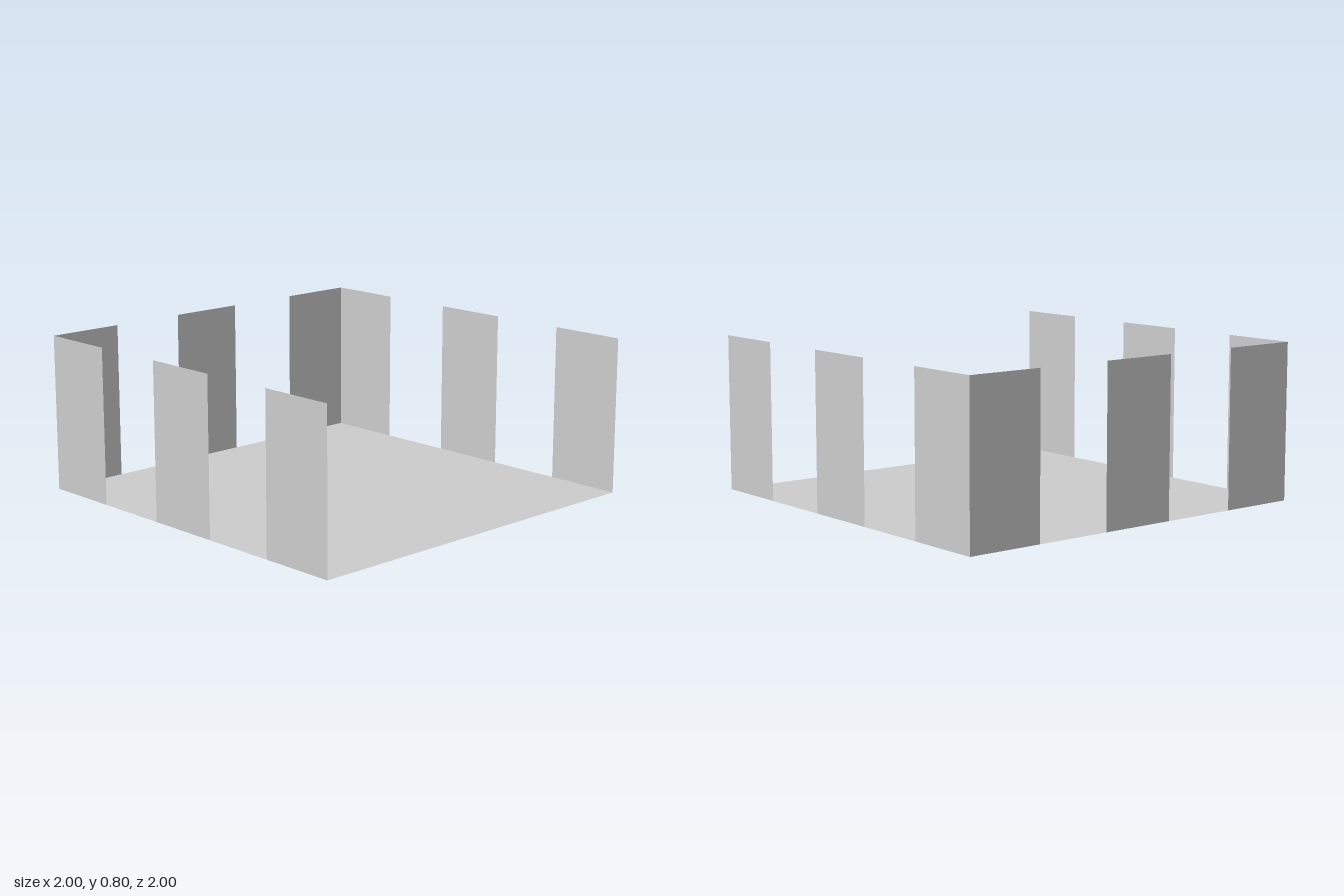
import * as THREE from 'three';

export function createModel() {
  const model = new THREE.Group();
  const grey = new THREE.MeshStandardMaterial({ color: 0xcccccc, side: THREE.DoubleSide });
  grey.name = 'light grey';

  // Square floor
  const floor = new THREE.Mesh(new THREE.PlaneGeometry(2, 2).rotateX(-Math.PI / 2), grey);
  floor.name = 'floor';
  model.add(floor);

  // Three upright panels per wall; the front stays open
  const panelGeometry = new THREE.PlaneGeometry(0.4, 0.8).translate(0, 0.4, 0);
  const addWall = (name, angle) => {
    const wall = new THREE.Group();
    wall.name = name;
    for (const x of [-0.8, 0, 0.8]) {
      const panel = new THREE.Mesh(panelGeometry, grey);
      panel.name = 'wallPanel';
      panel.position.set(x, 0, -1);
      wall.add(panel);
    }
    wall.rotation.y = angle;
    model.add(wall);
  };
  addWall('backWall', 0);
  addWall('rightWall', Math.PI / 2);
  addWall('leftWall', -Math.PI / 2);

  return model;
}
